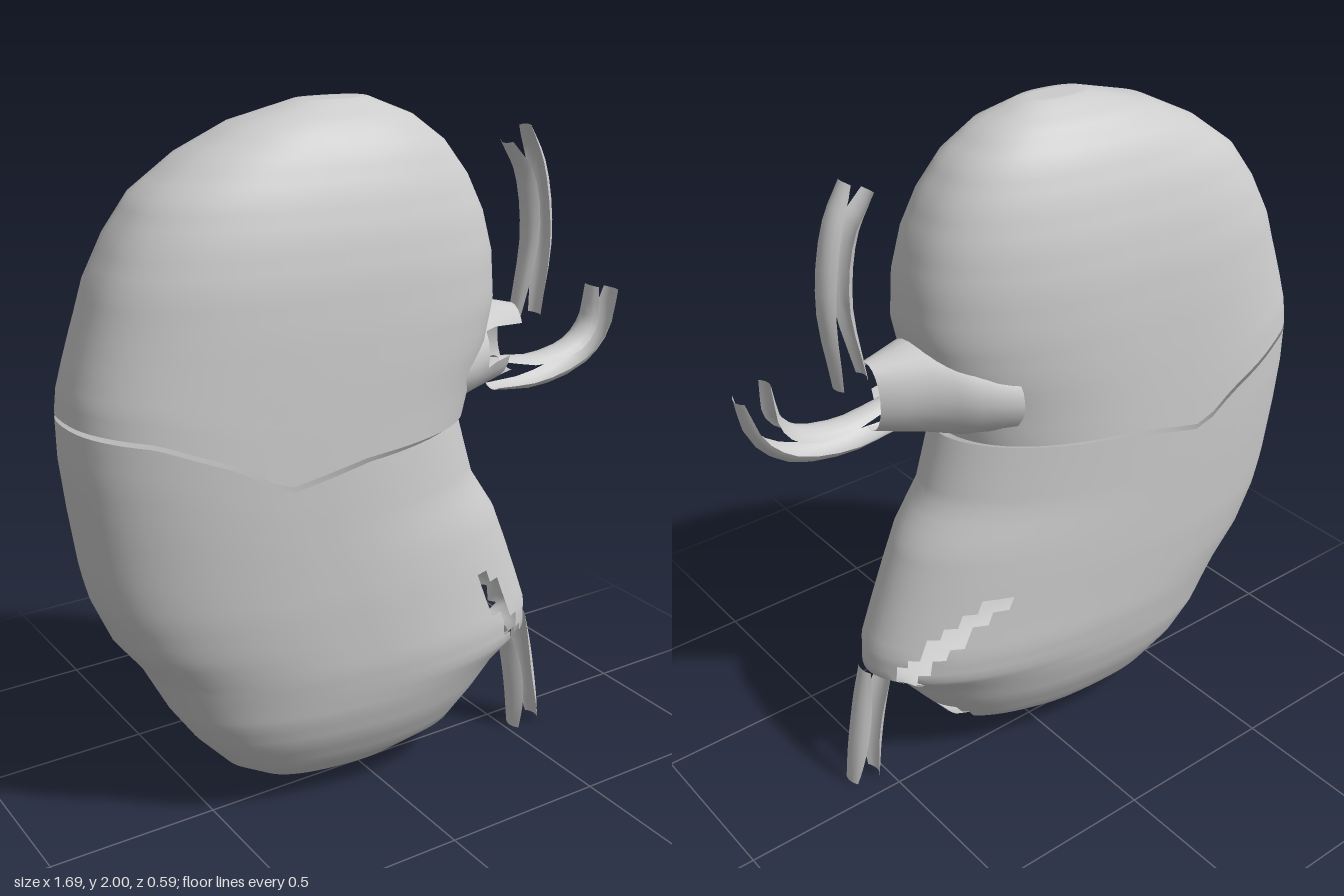
import * as THREE from 'three';

const grey = new THREE.MeshStandardMaterial({ color: 0xcccccc, side: THREE.DoubleSide });

// Surface over a grid of points; cells whose centre satisfies skip() are left open
function grid(name, rows, cols, closed, pointAt, skip = () => false) {
  const pts = [], index = [];
  const n = closed ? cols : cols + 1;
  for (let i = 0; i <= rows; i++)
    for (let j = 0; j < n; j++) pts.push(pointAt(i, j));
  for (let i = 0; i < rows; i++)
    for (let j = 0; j < cols; j++) {
      const k = (j + 1) % n;
      const a = i * n + j, b = i * n + k, c = a + n, d = b + n;
      const mid = pts[a].clone().add(pts[d]).multiplyScalar(0.5);
      if (!skip(mid, i, j)) index.push(a, b, c, b, d, c);
    }
  const geo = new THREE.BufferGeometry().setFromPoints(pts);
  geo.setIndex(index);
  geo.computeVertexNormals();
  const mesh = new THREE.Mesh(geo, grey);
  mesh.name = name;
  return mesh;
}

// Piecewise linear lookup in a table of [key, value]
function lookup(table, x) {
  if (x <= table[0][0]) return table[0][1];
  for (let i = 1; i < table.length; i++)
    if (x <= table[i][0]) {
      const [x0, v0] = table[i - 1], [x1, v1] = table[i];
      return v0 + (v1 - v0) * (x - x0) / (x1 - x0);
    }
  return table[table.length - 1][1];
}

// Height of the ragged crack between the two halves
const crack = [[-0.85, 1.23], [-0.7, 1.21], [-0.5, 1.13], [-0.39, 1.05], [-0.15, 1.1], [0.25, 1.12]];

// Sections from top to bottom: y, left end, right end, half depth
const upper = [
  [2.0, -0.09, -0.09, 0], [2.0, -0.19, 0.01, 0.05], [1.95, -0.37, 0.13, 0.125], [1.88, -0.51, 0.22, 0.175],
  [1.79, -0.63, 0.285, 0.215], [1.69, -0.7, 0.33, 0.245], [1.58, -0.755, 0.357, 0.265], [1.45, -0.795, 0.365, 0.275],
  [1.33, -0.82, 0.34, 0.28], [1.22, -0.84, 0.295, 0.283], [1.12, -0.848, 0.27, 0.285],
];
const lower = [
  [1.105, -0.848, 0.275, 0.285], [1.02, -0.848, 0.3, 0.284], [0.92, -0.835, 0.33, 0.282], [0.8, -0.815, 0.41, 0.28],
  [0.7, -0.79, 0.45, 0.278], [0.58, -0.74, 0.495, 0.272], [0.48, -0.665, 0.53, 0.267], [0.4, -0.625, 0.535, 0.255],
  [0.33, -0.59, 0.44, 0.24], [0.24, -0.53, 0.37, 0.21], [0.14, -0.44, 0.29, 0.155], [0.08, -0.34, 0.14, 0.1],
  [0.045, -0.22, 0.0, 0.04], [0.04, -0.1, -0.1, 0],
];

// Half of the bean: rounded sections, leaning forward towards +x, edge bent along the crack
function shell(name, table, rightPower, skip) {
  const sub = 3, cols = 72;
  return grid(name, (table.length - 1) * sub, cols, true, (i, j) => {
    const r = Math.min(Math.floor(i / sub), table.length - 2), t = i / sub - r;
    const [y, xl, xr, zh] = table[r].map((v, k) => THREE.MathUtils.lerp(v, table[r + 1][k], t));
    const ang = j / cols * Math.PI * 2, c = Math.cos(ang), s = Math.sin(ang);
    const e = 2 / (c > 0 ? rightPower : 2.5);
    const x = (xl + xr) / 2 + (xr - xl) / 2 * Math.sign(c) * Math.abs(c) ** e;
    const z = 0.02 + 0.1 * x + zh * Math.sign(s) * Math.abs(s) ** e;
    const bend = Math.max(0, 1 - Math.abs(y - 1.11) / 0.35);
    return new THREE.Vector3(x, y + (lookup(crack, x) - 1.11) * bend, z);
  }, skip);
}

// Distance from (u, v) to a segment, used for the slits
function near(u, v, [u0, v0, u1, v1], width) {
  const du = u1 - u0, dv = v1 - v0;
  const t = THREE.MathUtils.clamp(((u - u0) * du + (v - v0) * dv) / (du * du + dv * dv), 0, 1);
  return Math.hypot(u - u0 - t * du, v - v0 - t * dv) < width;
}

// Broken vessel: two opposite strips of a tube following a path in the xy plane
function vessel(name, path, z, radius, depth) {
  const group = new THREE.Group();
  group.name = name;
  const curve = new THREE.CatmullRomCurve3(path.map(([x, y]) => new THREE.Vector3(x, y, z)));
  const rows = 10, cols = 6;
  for (const side of [-1, 1])
    group.add(grid(name + 'Strip', rows, cols, false, (i, j) => {
      const t = i / rows, p = curve.getPoint(t), d = curve.getTangent(t);
      // strips narrow towards their torn ends
      const spread = 0.45 + 0.75 * Math.sin(Math.PI * (0.1 + 0.8 * t));
      const a = (j / cols - 0.5) * 2 * spread;
      const off = radius * Math.cos(a) * side;
      return new THREE.Vector3(p.x + d.y * off, p.y - d.x * off, p.z + depth * Math.sin(a));
    }));
  return group;
}

export function createModel() {
  const model = new THREE.Group();
  model.name = 'splitBean';

  model.add(shell('upperHalf', upper, 2.4));

  // Lower half with open slits around its swollen outlet
  model.add(shell('lowerHalf', lower, 2, (p) => {
    if (p.x < 0.2) return false;
    if (p.z > 0.06) return near(p.x, p.y, [0.28, 0.62, 0.45, 0.38], 0.025);
    return near(p.z, p.y, [-0.16, 0.63, 0.0, 0.34], 0.022) || near(p.z, p.y, [-0.02, 0.12, 0.0, 0.18], 0.025);
  }));

  // Funnel on the inner side of the upper half, open at the front: x, y, z, half height, half depth
  const rings = [
    [0.17, 1.27, 0.02, 0.14, 0.22], [0.27, 1.28, 0.03, 0.14, 0.18],
    [0.36, 1.29, 0.05, 0.13, 0.12], [0.48, 1.29, 0.07, 0.1, 0.06],
  ];
  model.add(grid('upperFunnel', 6, 24, true, (i, j) => {
    const r = Math.min(Math.floor(i / 2), 2), t = i / 2 - r;
    const [x, y, z, h, d] = rings[r].map((v, k) => THREE.MathUtils.lerp(v, rings[r + 1][k], t));
    const a = j / 24 * Math.PI * 2;
    return new THREE.Vector3(x, y + h * Math.cos(a), z - d * Math.sin(a));
  }, (p, i, j) => (i > 2 && j > 16 && j < 20) || (i > 4 && j > 12 && j < 20)));

  // Vessels leaving the funnel and the lower outlet
  model.add(vessel('upperVessel', [[0.475, 1.87], [0.53, 1.77], [0.56, 1.58], [0.53, 1.35]], 0.07, 0.047, 0.045));
  model.add(vessel('sideVessel', [[0.4, 1.2], [0.55, 1.185], [0.7, 1.22], [0.77, 1.29], [0.795, 1.4]], 0.1, 0.05, 0.05));
  model.add(vessel('lowerVessel', [[0.5, 0.39], [0.53, 0.27], [0.555, 0.13], [0.57, 0.005]], 0.09, 0.05, 0.05));

  return model;
}
